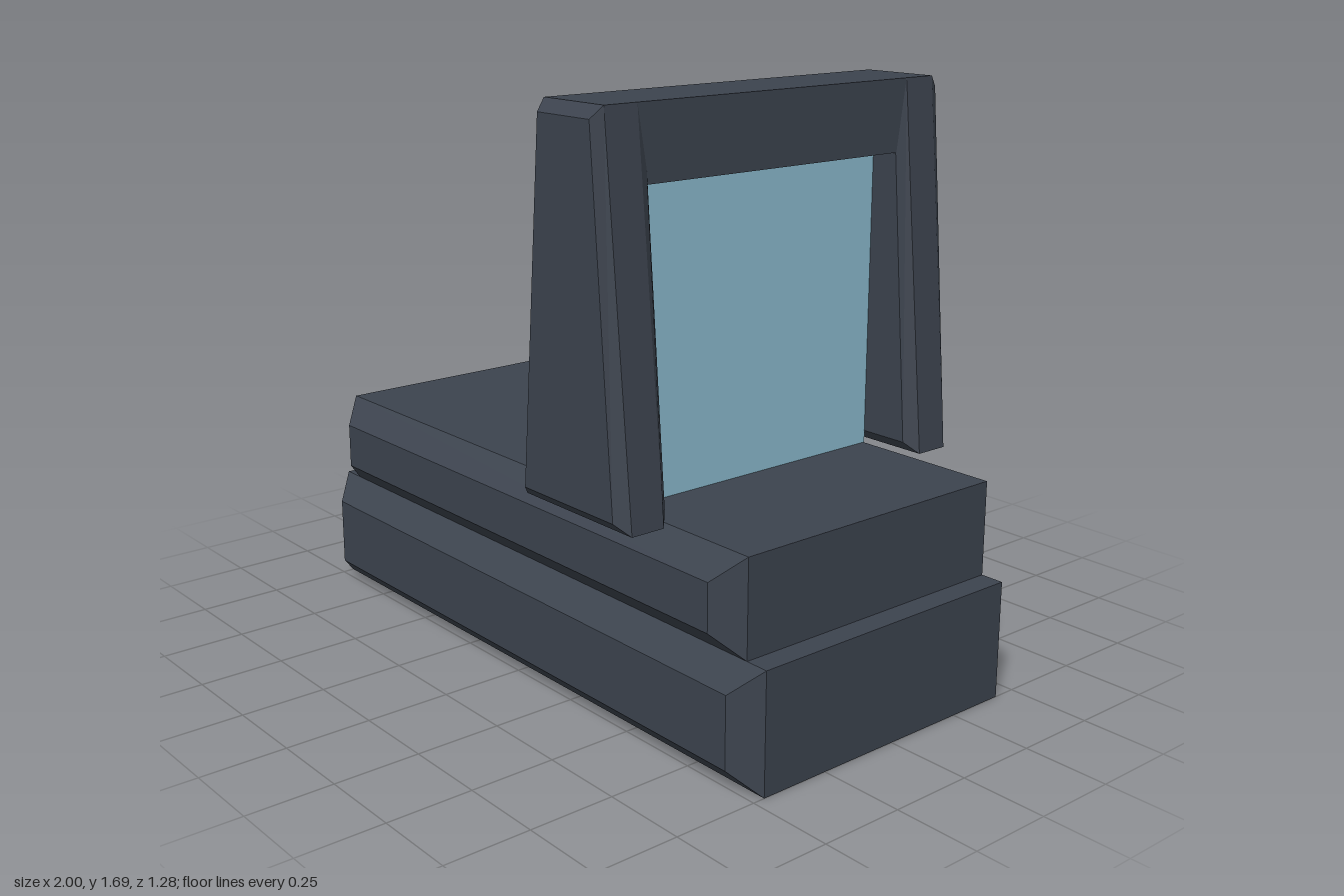
import * as THREE from 'three';

const body = new THREE.MeshStandardMaterial({ color: 0x3c434e });
body.name = 'dark slate';
body.flatShading = true;
const glass = new THREE.MeshStandardMaterial({ color: 0x8abacd });
glass.name = 'pale blue glass';

const MID_Z = 0.017; // fore-and-aft centre of the body
const SIGHT_X = 0.43; // centre of the window frame

// Block with full-size ends, chamfered around its front and back faces; stands on y = 0
function chamferedBlock(width, height, depth, chamfer) {
  const w = width / 2 - chamfer;
  const shape = new THREE.Shape([
    new THREE.Vector2(-w, chamfer),
    new THREE.Vector2(w, chamfer),
    new THREE.Vector2(w, height - chamfer),
    new THREE.Vector2(-w, height - chamfer),
  ]);
  const core = depth - 2 * chamfer;
  return new THREE.ExtrudeGeometry(shape, {
    depth: core,
    bevelEnabled: true,
    bevelSize: chamfer,
    bevelThickness: chamfer,
    bevelSegments: 1,
  }).translate(0, 0, -core / 2);
}

// Narrow a geometry in x towards its top
function taper(geometry, height, topScale) {
  const p = geometry.attributes.position;
  for (let i = 0; i < p.count; i++) {
    p.setX(i, p.getX(i) * (1 - (1 - topScale) * p.getY(i) / height));
  }
  geometry.computeVertexNormals();
  return geometry;
}

export function createModel() {
  const model = new THREE.Group();
  model.name = 'reflexSight';

  const add = (name, geometry, material, x, y, z) => {
    const mesh = new THREE.Mesh(geometry, material);
    mesh.name = name;
    mesh.position.set(x, y, z);
    model.add(mesh);
    return mesh;
  };

  // Stepped body
  add('base', chamferedBlock(2, 0.345, 1.034, 0.07), body, 0, 0, MID_Z);
  add('upperBody', chamferedBlock(1.86, 0.275, 1.034, 0.07), body, 0, 0.345, MID_Z);

  // Tapered posts on both sides of the window
  const postHeight = 1.067;
  for (const [name, side] of [['frontPost', 1], ['backPost', -1]]) {
    const post = taper(chamferedBlock(0.445, postHeight, 0.17, 0.033), postHeight, 0.54);
    add(name, post, body, SIGHT_X, 0.623, MID_Z + side * 0.534);
  }

  // Bar joining the posts
  add('topBar', new THREE.BoxGeometry(0.24, 0.205, 1.03), body, SIGHT_X, 1.5875, MID_Z);

  // Window and the small emitter bead on its rear side
  add('window', new THREE.BoxGeometry(0.07, 0.87, 0.9), glass, SIGHT_X, 1.05, MID_Z);
  add('emitterBead', new THREE.SphereGeometry(0.042, 8, 6), body, 0.375, 1.14, MID_Z + 0.01);

  // Ten-sided adjustment knob
  const knob = new THREE.CylinderGeometry(0.1025, 0.1025, 0.14, 10).rotateX(Math.PI / 2);
  add('knob', knob, body, -0.657, 0.483, -0.57);

  return model;
}
